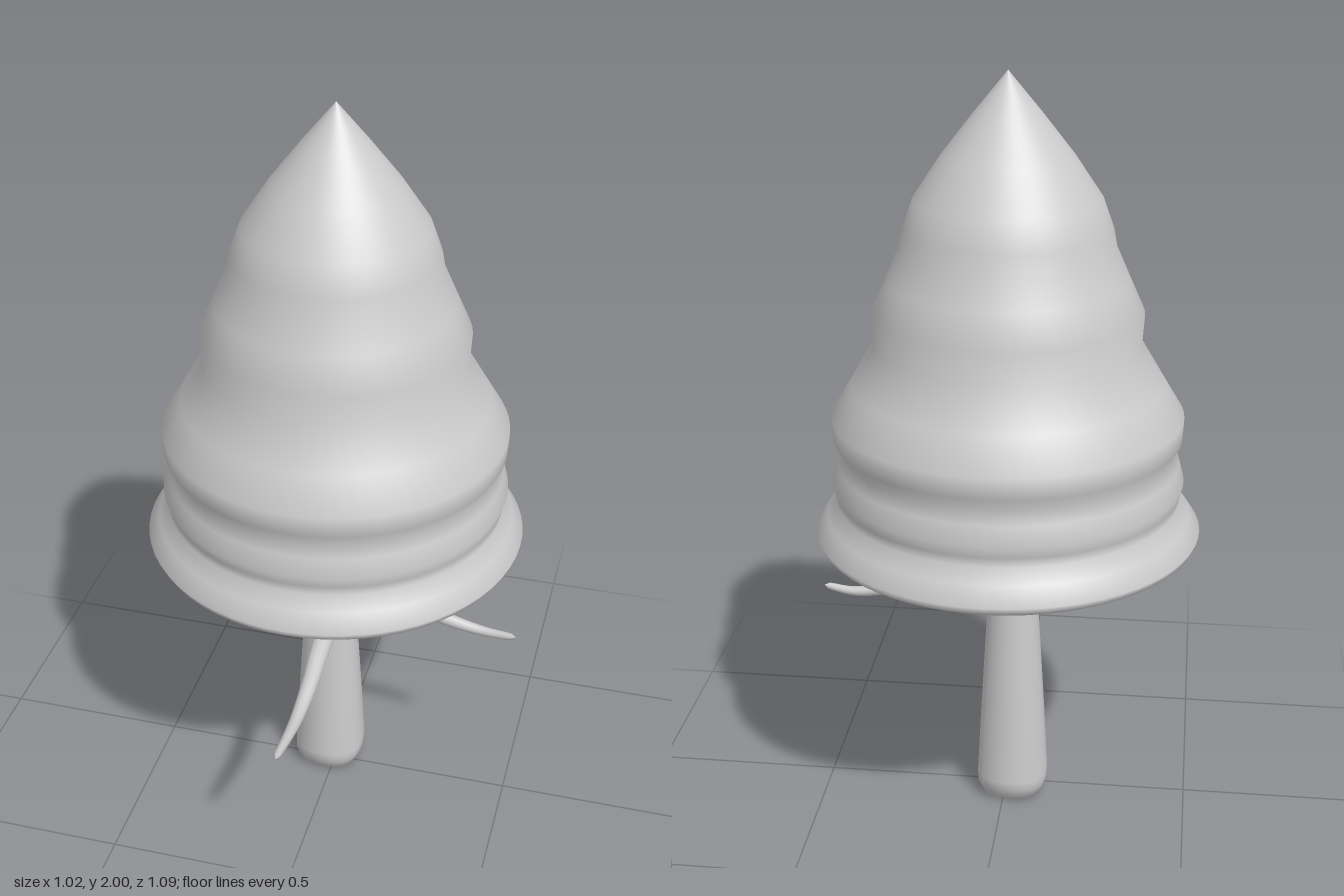
import * as THREE from 'three';

const grey = () => new THREE.MeshStandardMaterial({ color: 0xcccccc });
const vec = (p) => new THREE.Vector3(...p);

function part(name, geometry) {
  const mesh = new THREE.Mesh(geometry, grey());
  mesh.name = name;
  return mesh;
}

// Tube along a smooth path, narrowing from r0 to r1 and closing at the tip
function taperedTube(points, r0, r1, rows = 40, sides = 12) {
  const curve = new THREE.CatmullRomCurve3(points.map(vec));
  const geo = new THREE.TubeGeometry(curve, rows, 1, sides);
  const pos = geo.attributes.position;
  const v = new THREE.Vector3();
  for (let i = 0; i <= rows; i++) {
    const t = i / rows;
    const c = curve.getPointAt(t);
    const cap = t > 0.97 ? Math.sqrt(Math.max(0, (1 - t) / 0.03)) : 1;
    const r = THREE.MathUtils.lerp(r0, r1, t) * cap;
    for (let j = 0; j <= sides; j++) {
      const k = i * (sides + 1) + j;
      v.fromBufferAttribute(pos, k).sub(c).multiplyScalar(r).add(c);
      pos.setXYZ(k, v.x, v.y, v.z);
    }
  }
  // normals come from the tube itself, which stay correct for a gentle taper
  return geo;
}

const profile = (list) => list.map(([r, y]) => new THREE.Vector2(r, y));

export function createModel() {
  const tree = new THREE.Group();
  tree.name = 'tree';

  // Foliage: one turned shape with stacked, bulging tiers
  const foliage = part('foliage', new THREE.LatheGeometry(profile([
    [0, 0.787], [0.44, 0.787], [0.475, 0.793], [0.492, 0.803], [0.502, 0.823],
    [0.472, 0.868], [0.445, 0.905], [0.448, 0.93], [0.456, 0.96], [0.442, 1.01],
    [0.428, 1.045], [0.449, 1.08], [0.451, 1.135], [0.40, 1.22], [0.338, 1.325],
    [0.343, 1.405], [0.305, 1.49], [0.27, 1.57], [0.261, 1.617], [0.235, 1.69],
    [0.164, 1.796], [0.085, 1.897], [0, 2.0],
  ]), 64));
  foliage.position.set(-0.008, 0, -0.039);
  tree.add(foliage);

  // Trunk: tapering, with a slightly squared section and a bevelled foot
  const trunkGeo = new THREE.LatheGeometry(profile([
    [0, 0.005], [0.06, 0.005], [0.08, 0.01], [0.096, 0.045], [0.096, 0.07],
    [0.087, 0.25], [0.075, 0.46], [0.064, 0.65], [0.056, 0.8], [0, 0.8],
  ]), 32);
  const pos = trunkGeo.attributes.position;
  for (let i = 0; i < pos.count; i++) {
    const a = Math.atan2(pos.getZ(i), pos.getX(i));
    const square = 1 + 0.1 * (1 - pos.getY(i)) * Math.sin(2 * a) ** 2;
    pos.setXYZ(i, pos.getX(i) * square, Math.max(0, pos.getY(i) - 0.005), pos.getZ(i) * square);
  }
  const trunk = part('trunk', trunkGeo);
  trunk.position.set(-0.02, 0, -0.025);
  tree.add(trunk);

  // Bare crooked branches, one to the left and one to the front
  tree.add(part('leftBranch', taperedTube([
    [-0.01, 0.635, -0.025], [0.05, 0.628, -0.025], [0.13, 0.61, -0.02], [0.22, 0.61, 0.0],
    [0.32, 0.583, 0.012], [0.42, 0.565, 0.015], [0.51, 0.572, 0.03],
  ], 0.033, 0.009)));
  tree.add(part('frontBranch', taperedTube([
    [-0.017, 0.495, -0.02], [-0.017, 0.49, 0.04], [-0.015, 0.477, 0.14], [-0.013, 0.46, 0.21],
    [-0.015, 0.437, 0.33], [-0.014, 0.452, 0.44], [-0.015, 0.473, 0.545],
  ], 0.033, 0.009)));

  return tree;
}
